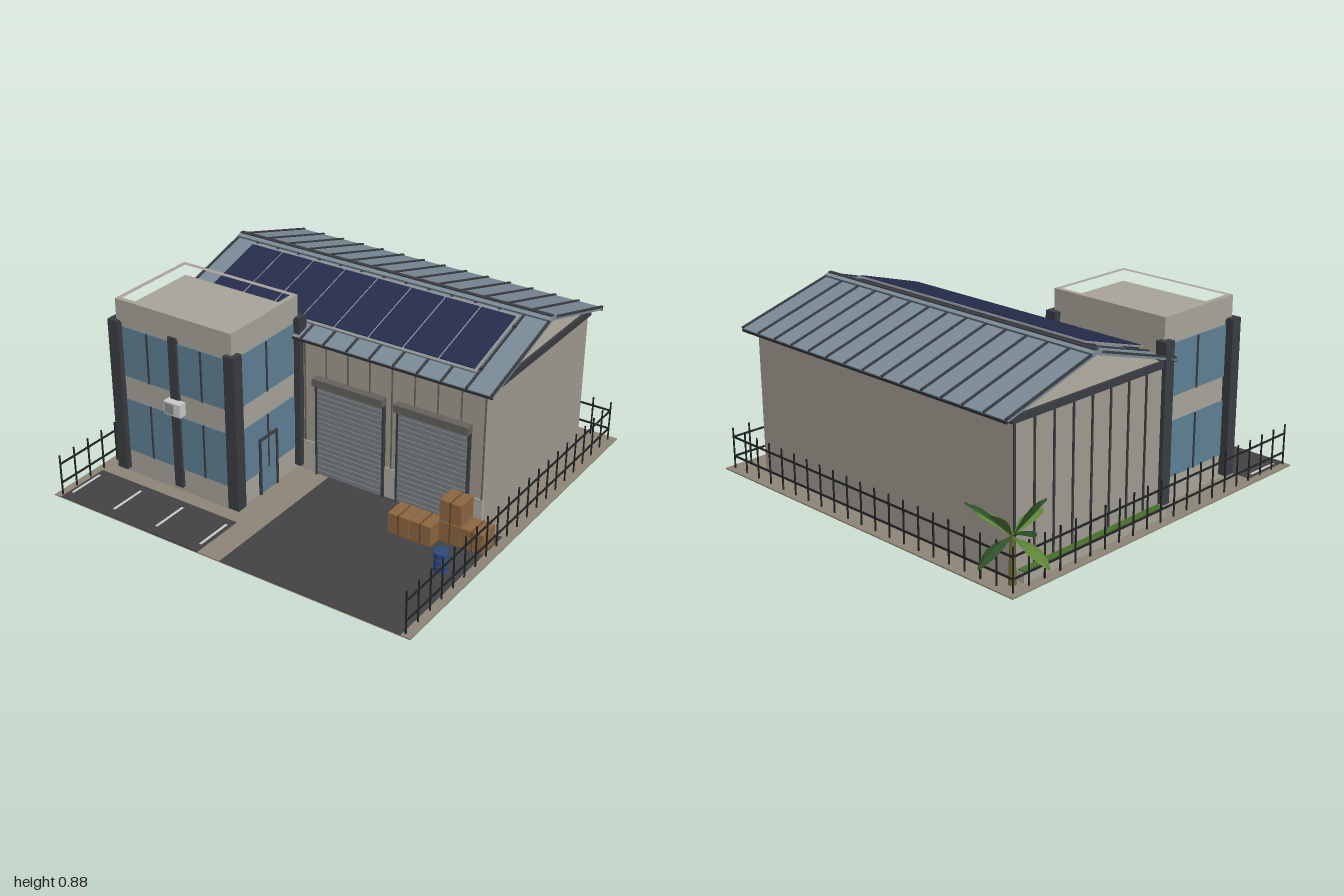
import * as THREE from 'three';

const mat = (color, double) => new THREE.MeshStandardMaterial({ color, flatShading: true, side: double ? THREE.DoubleSide : THREE.FrontSide });
const M = {
  paving: mat(0x8f8878), asphalt: mat(0x434345), line: mat(0xc4c4c0), wall: mat(0xa39d92), plinth: mat(0xb0aca4),
  dark: mat(0x3a3d42), roof: mat(0x7a8b96), glass: mat(0x5f8296), navy: mat(0x262d4d), metal: mat(0x8d9196),
  shutter: mat(0x7b7f83), header: mat(0x66635d), concrete: mat(0xaaa69b), crate: mat(0x8f6740), tape: mat(0x6e4c2c),
  barrel: mat(0x2f4a7d), grass: mat(0x47702c), fence: mat(0x222427), trunk: mat(0x6b6a34),
  leafA: mat(0x5c8438, true), leafB: mat(0x2f5228, true),
};

export function createModel() {
  const root = new THREE.Group();
  const group = (name, parent = root) => {
    const g = new THREE.Group();
    g.name = name;
    parent.add(g);
    return g;
  };
  // Box given by its lower and upper limits on each axis
  const box = (parent, name, m, x0, x1, y0, y1, z0, z1) => {
    const b = new THREE.Mesh(new THREE.BoxGeometry(x1 - x0, y1 - y0, z1 - z0), m);
    b.position.set((x0 + x1) / 2, (y0 + y1) / 2, (z0 + z1) / 2);
    b.name = name;
    parent.add(b);
    return b;
  };

  // Yard
  const yard = group('yard');
  box(yard, 'paving', M.paving, -0.86, 1, 0, 0.006, -0.88, 0.98);
  box(yard, 'driveway', M.asphalt, 0.07, 0.955, 0.004, 0.009, 0.165, 0.98);
  box(yard, 'parkingLot', M.asphalt, -0.82, -0.05, 0.004, 0.009, 0.71, 0.98);
  for (const x of [-0.8, -0.556, -0.315, -0.073]) box(yard, 'parkingLine', M.line, x - 0.006, x + 0.006, 0.006, 0.011, 0.75, 0.93);
  box(yard, 'planter', M.concrete, -0.806, -0.764, 0.004, 0.05, -0.76, 0.125);
  box(yard, 'planterGrass', M.grass, -0.802, -0.768, 0.03, 0.056, -0.755, 0.11);

  // Warehouse walls
  const hall = group('warehouse');
  box(hall, 'walls', M.wall, -0.74, 0.855, 0.004, 0.69, -0.755, 0.17);
  box(hall, 'frontPlinth', M.plinth, -0.07, 0.857, 0.004, 0.16, 0.16, 0.176);
  box(hall, 'eavesBandFront', M.dark, -0.75, 0.866, 0.662, 0.694, 0.165, 0.182);
  box(hall, 'eavesBandBack', M.dark, -0.75, 0.866, 0.662, 0.694, -0.767, -0.75);
  for (const x of [-0.75, 0.852]) box(hall, 'eavesBandSide', M.dark, x, x + 0.014, 0.662, 0.694, -0.767, 0.182);
  for (let i = 0; i <= 8; i++) {
    const x = -0.06 + i * 0.1138, z = -0.75 + i * 0.113;
    box(hall, 'frontWallRib', M.header, x - 0.003, x + 0.003, i > 0 && i < 8 && i !== 4 ? 0.5 : 0.16, 0.665, 0.168, 0.175);
    box(hall, 'sideWallRib', M.dark, -0.747, -0.738, 0.01, 0.665, z - 0.004, z + 0.004);
  }

  // Roller doors
  for (const x of [0.005, 0.43]) {
    const door = group('rollerDoor', hall);
    box(door, 'doorPanel', M.shutter, x, x + 0.355, 0.006, 0.475, 0.165, 0.18);
    for (let i = 0; i < 18; i++) box(door, 'slat', M.shutter, x + 0.006, x + 0.349, 0.012 + i * 0.0255, 0.032 + i * 0.0255, 0.178, 0.185);
    for (const s of [x - 0.004, x + 0.349]) box(door, 'doorRail', M.dark, s, s + 0.01, 0.006, 0.475, 0.17, 0.187);
    box(door, 'doorHeader', M.header, x - 0.006, x + 0.361, 0.47, 0.507, 0.165, 0.21);
  }

  // Gable roof: each slope is built running down local +z from the ridge
  const angle = Math.atan2(0.15, 0.513), length = 0.535;
  const slope = (name, turn) => {
    const g = group(name, hall);
    g.position.set(0.07, 0.843, -0.297);
    g.rotation.set(angle, turn, 0, 'YXZ');
    box(g, 'roofSheet', M.roof, -0.83, 0.83, -0.012, 0, 0, length);
    for (let i = 0; i <= 14; i++) {
      const x = -0.826 + i * 0.118;
      box(g, 'roofRib', M.dark, x - 0.005, x + 0.005, -0.002, 0.007, 0.01, length);
    }
    box(g, 'eaveTrim', M.dark, -0.83, 0.83, -0.016, -0.004, length - 0.006, length + 0.003);
    box(g, 'ridgeFlashing', M.roof, -0.832, 0.832, -0.002, 0.01, 0, 0.03);
    return g;
  };
  slope('backSlope', Math.PI);
  const front = slope('frontSlope', 0);
  box(hall, 'ridgeCap', M.dark, -0.76, 0.9, 0.843, 0.856, -0.307, -0.287);

  // Solar array on the front slope
  const solar = group('solarArray', front);
  box(solar, 'solarFrame', M.metal, -0.71, 0.705, 0.014, 0.022, 0.06, 0.45);
  for (const z of [0.11, 0.4]) box(solar, 'mountingRail', M.dark, -0.72, 0.715, 0, 0.014, z, z + 0.012);
  for (let i = 0; i < 8; i++) {
    const x = -0.704 + i * 0.1758;
    box(solar, 'solarPanel', M.navy, x, x + 0.167, 0.016, 0.026, 0.075, 0.435);
  }

  // Office tower
  const tower = group('officeTower');
  box(tower, 'towerBody', M.concrete, -0.718, -0.102, 0.004, 0.79, 0.18, 0.638);
  for (const x of [-0.76, -0.126]) for (const z of [0.145, 0.61])
    box(tower, 'cornerPillar', M.dark, x, x + 0.056, 0.03, 0.775, z, z + 0.056);
  box(tower, 'frontPillar', M.dark, -0.433, -0.39, 0.035, 0.775, 0.62, 0.656);
  for (const [y0, y1] of [[0.125, 0.388], [0.503, 0.745]]) {
    box(tower, 'frontGlass', M.glass, -0.7, -0.12, y0, y1, 0.62, 0.643);
    for (const x of [-0.56, -0.265]) box(tower, 'mullion', M.dark, x - 0.004, x + 0.004, y0, y1, 0.63, 0.648);
    box(tower, 'rightGlass', M.glass, -0.12, -0.097, y0, y1, 0.205, 0.61);
    box(tower, 'leftGlass', M.glass, -0.723, -0.7, y0, y1, 0.205, 0.61);
    for (const x of [-0.105, -0.728]) box(tower, 'mullion', M.dark, x, x + 0.013, y0, y1, 0.404, 0.412);
  }
  // Side door frame
  for (const z of [0.345, 0.467]) box(tower, 'doorPost', M.dark, -0.1, -0.088, 0.01, 0.29, z, z + 0.01);
  box(tower, 'doorLintel', M.dark, -0.1, -0.088, 0.28, 0.292, 0.345, 0.477);
  box(tower, 'doorGlass', M.glass, -0.11, -0.095, 0.01, 0.285, 0.35, 0.47);

  // Hollow parapet
  const parapetShape = new THREE.Shape([[-0.725, 0.175], [-0.095, 0.175], [-0.095, 0.647], [-0.725, 0.647]].map(p => new THREE.Vector2(p[0], -p[1])));
  parapetShape.holes.push(new THREE.Path([[-0.702, 0.198], [-0.118, 0.198], [-0.118, 0.624], [-0.702, 0.624]].map(p => new THREE.Vector2(p[0], -p[1]))));
  const parapet = new THREE.Mesh(new THREE.ExtrudeGeometry(parapetShape, { depth: 0.105, bevelEnabled: false }), M.concrete);
  parapet.name = 'parapet';
  parapet.rotation.x = -Math.PI / 2;
  parapet.position.y = 0.77;
  tower.add(parapet);
  box(tower, 'towerRoof', M.concrete, -0.71, -0.11, 0.785, 0.82, 0.19, 0.63);

  // Air conditioner
  const ac = group('airConditioner');
  box(ac, 'casing', M.line, -0.445, -0.355, 0.415, 0.477, 0.65, 0.69);
  box(ac, 'grille', M.metal, -0.438, -0.39, 0.421, 0.471, 0.685, 0.693);

  // Fence on the two sides and the back
  const fence = group('fence');
  const post = (x, z) => box(fence, 'fencePost', M.fence, x - 0.003, x + 0.003, 0.004, 0.205, z - 0.003, z + 0.003);
  for (const x of [-0.83, 0.967]) {
    for (let i = 0; i <= 20; i++) post(x, 0.96 - i * 0.0904);
    for (const y of [0.062, 0.157]) box(fence, 'sideRail', M.fence, x - 0.003, x + 0.003, y, y + 0.008, -0.85, 0.962);
  }
  for (let i = 1; i < 20; i++) post(-0.83 + i * 0.08985, -0.848);
  for (const y of [0.062, 0.157]) box(fence, 'backRail', M.fence, -0.83, 0.967, y, y + 0.008, -0.851, -0.845);

  // Crates and barrel
  const goods = group('goods');
  for (const [x, y, z] of [[0.53, 0, 0.302], [0.638, 0, 0.302], [0.742, 0, 0.232], [0.742, 0.104, 0.232], [0.849, 0, 0.232]]) {
    box(goods, 'crate', M.crate, x, x + 0.104, y + 0.006, y + 0.106, z, z + 0.104);
    box(goods, 'crateBand', M.tape, x + 0.048, x + 0.056, y + 0.005, y + 0.107, z - 0.001, z + 0.105);
  }
  const barrel = new THREE.Mesh(new THREE.CylinderGeometry(0.032, 0.032, 0.096, 12), M.barrel);
  barrel.name = 'barrel';
  barrel.position.set(0.863, 0.054, 0.52);
  goods.add(barrel);
  for (const y of [0.01, 0.04, 0.07, 0.1]) {
    const hoop = new THREE.Mesh(new THREE.TorusGeometry(0.032, 0.003, 5, 12), M.barrel);
    hoop.name = 'barrelHoop';
    hoop.rotation.x = Math.PI / 2;
    hoop.position.set(0.863, y, 0.52);
    goods.add(hoop);
  }

  // Palm: curved folded leaves around a short trunk
  const palm = group('palm');
  const base = new THREE.Vector3(-0.775, 0.215, -0.795);
  const trunk = new THREE.Mesh(new THREE.CylinderGeometry(0.011, 0.018, 0.22, 7), M.trunk);
  trunk.name = 'trunk';
  trunk.position.set(-0.775, 0.112, -0.795);
  palm.add(trunk);
  const tips = [[-1, 0.16, -0.82], [-0.95, 0.29, -0.845], [-0.825, 0.385, -0.97], [-0.66, 0.37, -0.94], [-0.61, 0.29, -0.84], [-0.76, 0.13, -0.97], [-0.765, 0.27, -0.61], [-0.86, 0.37, -0.69]];
  tips.forEach((t, i) => {
    const tip = new THREE.Vector3(...t);
    const mid = base.clone().lerp(tip, 0.5).add(new THREE.Vector3(0, 0.04, 0));
    const curve = new THREE.QuadraticBezierCurve3(base, mid, tip);
    const side = tip.clone().sub(base).setY(0).normalize().cross(new THREE.Vector3(0, 1, 0));
    const leaf = new THREE.PlaneGeometry(1, 1, 2, 5), p = leaf.attributes.position;
    for (let k = 0; k < p.count; k++) {
      const u = p.getX(k) * 2, v = p.getY(k) + 0.5;
      const c = curve.getPoint(v).addScaledVector(side, u * (0.004 + 0.03 * Math.sin(Math.PI * Math.pow(v, 1.3))));
      p.setXYZ(k, c.x, c.y - Math.abs(u) * 0.008, c.z);
    }
    leaf.computeVertexNormals();
    const mesh = new THREE.Mesh(leaf, i % 2 ? M.leafB : M.leafA);
    mesh.name = 'palmLeaf';
    palm.add(mesh);
  });
  return root;
}
